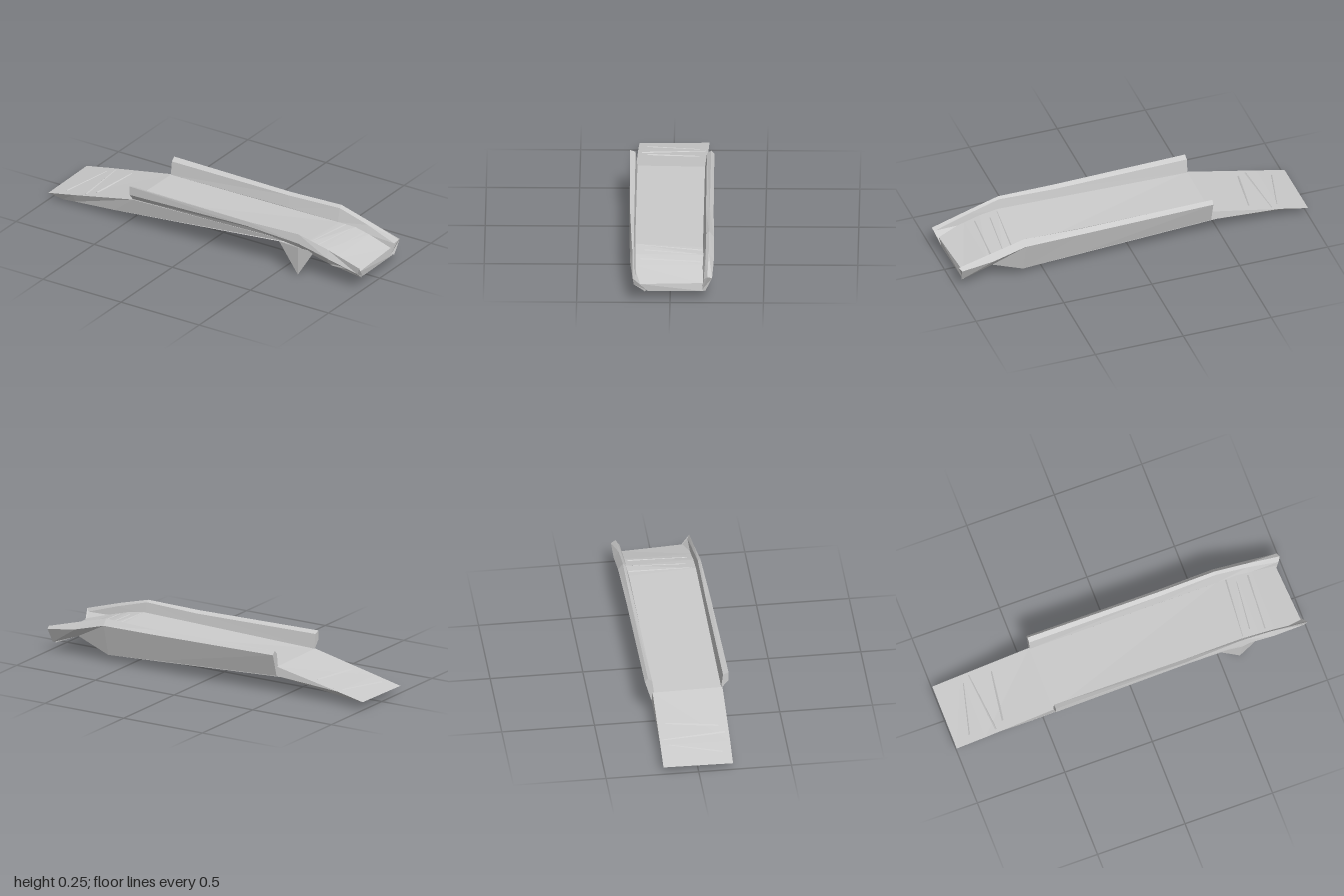
import * as THREE from 'three';

const material = new THREE.MeshStandardMaterial({ color: 0xcccccc, flatShading: true, side: THREE.DoubleSide });

// Mesh from three- or four-cornered faces
function panels(name, faces) {
  const pos = [];
  for (const f of faces) {
    for (let i = 1; i < f.length - 1; i++) pos.push(...f[0], ...f[i], ...f[i + 1]);
  }
  const geo = new THREE.BufferGeometry();
  geo.setAttribute('position', new THREE.Float32BufferAttribute(pos, 3));
  geo.computeVertexNormals();
  const mesh = new THREE.Mesh(geo, material);
  mesh.name = name;
  return mesh;
}

// Join matching cross-sections into a closed shell; skip(section, side) leaves a panel open
function loft(name, sections, skip = () => false) {
  const faces = [sections[0], sections[sections.length - 1]];
  for (let s = 0; s < sections.length - 1; s++) {
    const a = sections[s], b = sections[s + 1];
    for (let i = 0; i < a.length; i++) {
      const j = (i + 1) % a.length;
      if (!skip(s, i)) faces.push([a[i], b[i], b[j], a[j]]);
    }
  }
  return panels(name, faces);
}

// Section at constant x from [y, z] pairs
const at = (x, ...yz) => yz.map(([y, z]) => [x, y, z]);

export function createModel() {
  const group = new THREE.Group();
  group.name = 'rampBridge';

  // Deck: corners run top front, top back, bottom back, bottom front
  const deck = [
    [[-1, 0.04, 0.185], [-1, 0.045, -0.19], [-0.91, 0.03, -0.135], [-0.92, 0.015, 0.165]],
    [[-0.84, 0.073, 0.19], [-0.84, 0.077, -0.187], [-0.84, 0.04, -0.145], [-0.84, 0.024, 0.168]],
    [[-0.45, 0.155, 0.197], [-0.45, 0.15, -0.18], [-0.48, 0.098, -0.185], [-0.58, 0.05, 0.18]],
    [[0.63, 0.18, 0.193], [0.63, 0.16, -0.178], [0.62, 0.04, -0.185], [0.5, 0.165, 0.2]],
    [[0.73, 0.165, 0.2], [0.73, 0.158, -0.178], [0.72, 0.145, -0.18], [0.71, 0.155, 0.2]],
    [[0.82, 0.14, 0.195], [0.82, 0.14, -0.176], [0.82, 0.11, -0.173], [0.82, 0.105, 0.19]],
    [[0.975, 0.097, 0.165], [0.955, 0.095, -0.175], [0.96, 0.05, -0.18], [0.97, 0.055, 0.12]],
  ];
  // The underside of the low ramp stays open
  group.add(loft('deck', deck, (s, i) => s === 1 && i === 2));

  // Front wall overhangs the deck and drops away at the far end
  group.add(loft('frontWall', [
    at(-0.45, [0.155, 0.19], [0.235, 0.2], [0.247, 0.23], [0.197, 0.23], [0.16, 0.2]),
    at(0.3, [0.17, 0.19], [0.225, 0.198], [0.238, 0.222], [0.213, 0.224], [0.195, 0.2]),
    at(0.62, [0.17, 0.188], [0.235, 0.198], [0.246, 0.212], [0.195, 0.22], [0.165, 0.205]),
    at(0.8, [0.13, 0.185], [0.185, 0.192], [0.2, 0.203], [0.155, 0.217], [0.115, 0.195]),
    [[0.97, 0.06, 0.125], [0.985, 0.125, 0.188], [1, 0.14, 0.2], [0.985, 0.1, 0.195], [0.97, 0.052, 0.135]],
  ]));

  // Back wall flares outward from the deep lower edge
  group.add(loft('backWall', [
    at(-0.45, [0.15, -0.172], [0.225, -0.182], [0.245, -0.205], [0.225, -0.222], [0.1, -0.186]),
    at(0.3, [0.16, -0.172], [0.225, -0.185], [0.238, -0.205], [0.215, -0.226], [0.06, -0.186]),
    at(0.62, [0.16, -0.172], [0.235, -0.19], [0.249, -0.206], [0.215, -0.232], [0.04, -0.186]),
    at(0.8, [0.14, -0.172], [0.185, -0.188], [0.2, -0.205], [0.165, -0.233], [0.12, -0.2]),
    [[0.96, 0.06, -0.172], [0.975, 0.125, -0.18], [0.99, 0.145, -0.2], [0.98, 0.135, -0.225], [0.97, 0.055, -0.188]],
  ]));

  // Pointed foot hanging below the front edge
  const tip = [0.61, 0, 0.205];
  const foot = [[0.49, 0.165, 0.203], [0.62, 0.17, 0.22], [0.715, 0.165, 0.205], [0.62, 0.17, 0.18]];
  group.add(panels('pointedFoot', foot.map((p, i) => [p, foot[(i + 1) % foot.length], tip])));

  // Thin skewed strips nearly flush with both slopes: x at back, x at front, heights, half width
  const strips = [
    [-0.84, -0.91, 0.076, 0.06, 0.14], [-0.8, -0.77, 0.084, 0.089, 0.17], [-0.68, -0.72, 0.107, 0.1, 0.14],
    [0.67, 0.64, 0.161, 0.177, 0.17], [0.72, 0.69, 0.159, 0.17, 0.14], [0.79, 0.77, 0.148, 0.154, 0.16],
  ];
  for (const [xb, xf, yb, yf, w] of strips) {
    group.add(loft('strip', [
      [[xb - 0.006, yb - 0.003, -w], [xb + 0.006, yb - 0.003, -w], [xb, yb + 0.003, -w]],
      [[xf - 0.006, yf - 0.003, w], [xf + 0.006, yf - 0.003, w], [xf, yf + 0.003, w]],
    ]));
  }
  return group;
}
